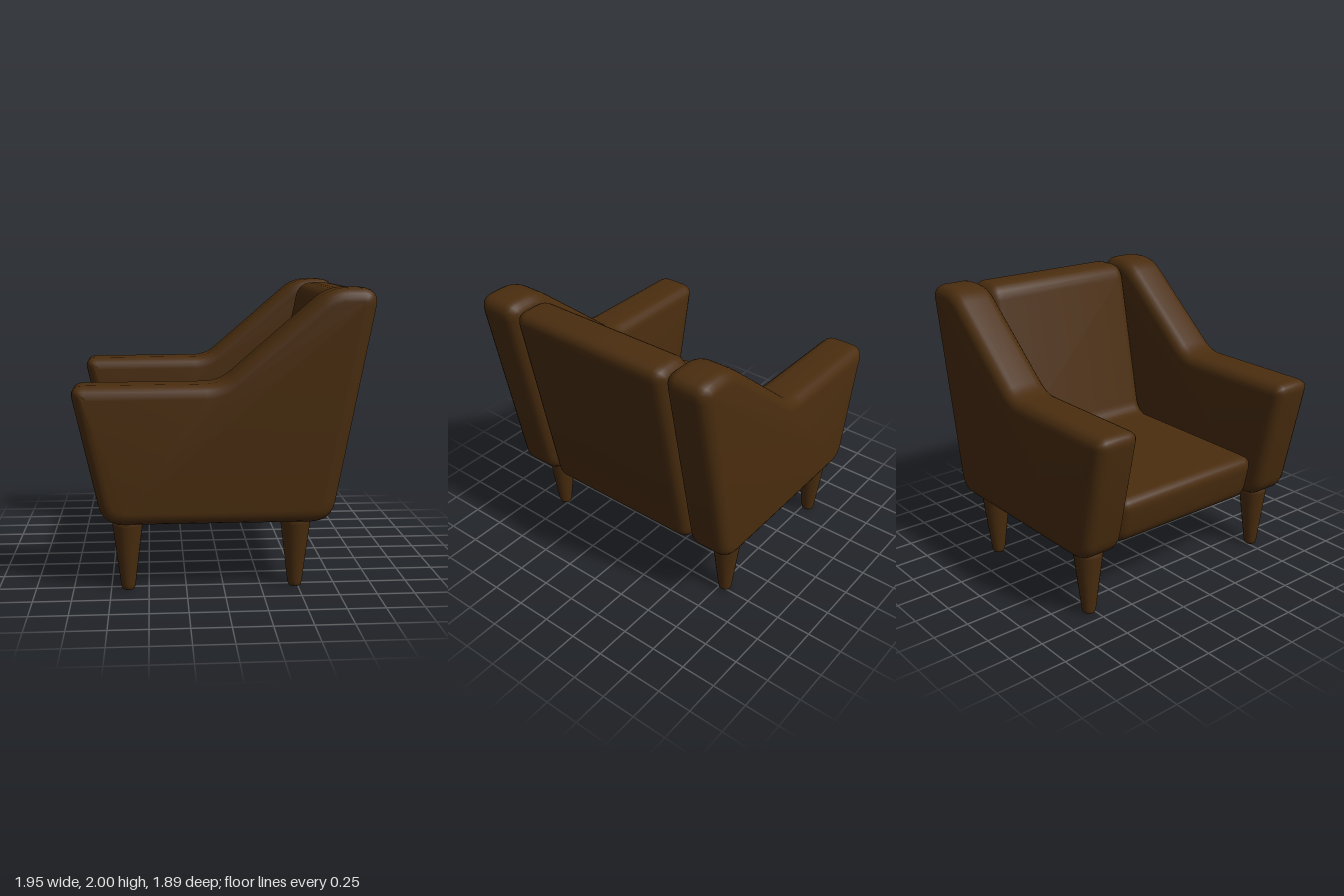
import * as THREE from 'three';
import { toCreasedNormals } from 'three/addons/utils/BufferGeometryUtils.js';

// Outline with rounded corners; each corner is [x, y, radius-like cut length].
function roundedOutline(corners) {
  const shape = new THREE.Shape();
  const n = corners.length;
  corners.forEach(([x, y, cut], i) => {
    const p = new THREE.Vector2(x, y);
    const prev = new THREE.Vector2(...corners[(i + n - 1) % n].slice(0, 2));
    const next = new THREE.Vector2(...corners[(i + 1) % n].slice(0, 2));
    const a = p.clone().add(prev.sub(p).setLength(cut));
    const b = p.clone().add(next.sub(p).setLength(cut));
    if (i === 0) shape.moveTo(a.x, a.y);
    else shape.lineTo(a.x, a.y);
    shape.quadraticCurveTo(x, y, b.x, b.y);
  });
  shape.closePath();
  return shape;
}

// Cushion-like slab: outline in x/y, soft edges, centred on z = 0.
function softSlab(corners, width, edge) {
  const geo = new THREE.ExtrudeGeometry(roundedOutline(corners), {
    depth: width - 2 * edge,
    bevelEnabled: true,
    bevelThickness: edge,
    bevelSize: edge,
    bevelOffset: -edge,
    bevelSegments: 5,
    curveSegments: 6,
  });
  geo.translate(0, 0, -(width - 2 * edge) / 2);
  return toCreasedNormals(geo, 0.7);
}

export function createModel() {
  const chair = new THREE.Group();
  chair.name = 'armchair';
  const brown = new THREE.MeshStandardMaterial({ color: 0x4a2d0f });
  brown.name = 'dark brown';

  const add = (name, geo, x = 0, y = 0, z = 0) => {
    const mesh = new THREE.Mesh(geo, brown);
    mesh.name = name;
    mesh.position.set(x, y, z);
    chair.add(mesh);
  };

  // Side panels: low arm at the seat front, sweeping up to the backrest
  const panel = softSlab([
    [-0.795, 0.47, 0.14],
    [0.705, 0.47, 0.14],
    [0.99, 2.0, 0.13],
    [0.675, 2.0, 0.11],
    [-0.03, 1.39, 0.1],
    [-0.995, 1.385, 0.09],
  ], 0.325, 0.085);

  // Seat and backrest in one L-shaped body
  const body = softSlab([
    [-0.735, 0.472, 0.11],
    [0.7, 0.472, 0.11],
    [0.985, 1.98, 0.11],
    [0.68, 1.98, 0.11],
    [0.45, 0.83, 0.09],
    [-0.805, 0.82, 0.1],
  ], 1.23, 0.085);
  add('seatAndBackrest', body);

  // Tapered legs with rounded feet
  const leg = new THREE.LatheGeometry([
    [0, 0.004], [0.034, 0.004], [0.043, 0.012], [0.049, 0.04], [0.1, 0.45], [0.105, 0.5], [0, 0.5],
  ].map(([r, y]) => new THREE.Vector2(r, y)), 24);

  for (const side of [-1, 1]) {
    add(side > 0 ? 'nearSidePanel' : 'farSidePanel', panel, 0, 0, side * 0.785);
    add('seatEndLeg', leg, -0.637, 0, side * 0.785);
    add('backrestEndLeg', leg, 0.48, 0, side * 0.785);
  }
  return chair;
}
